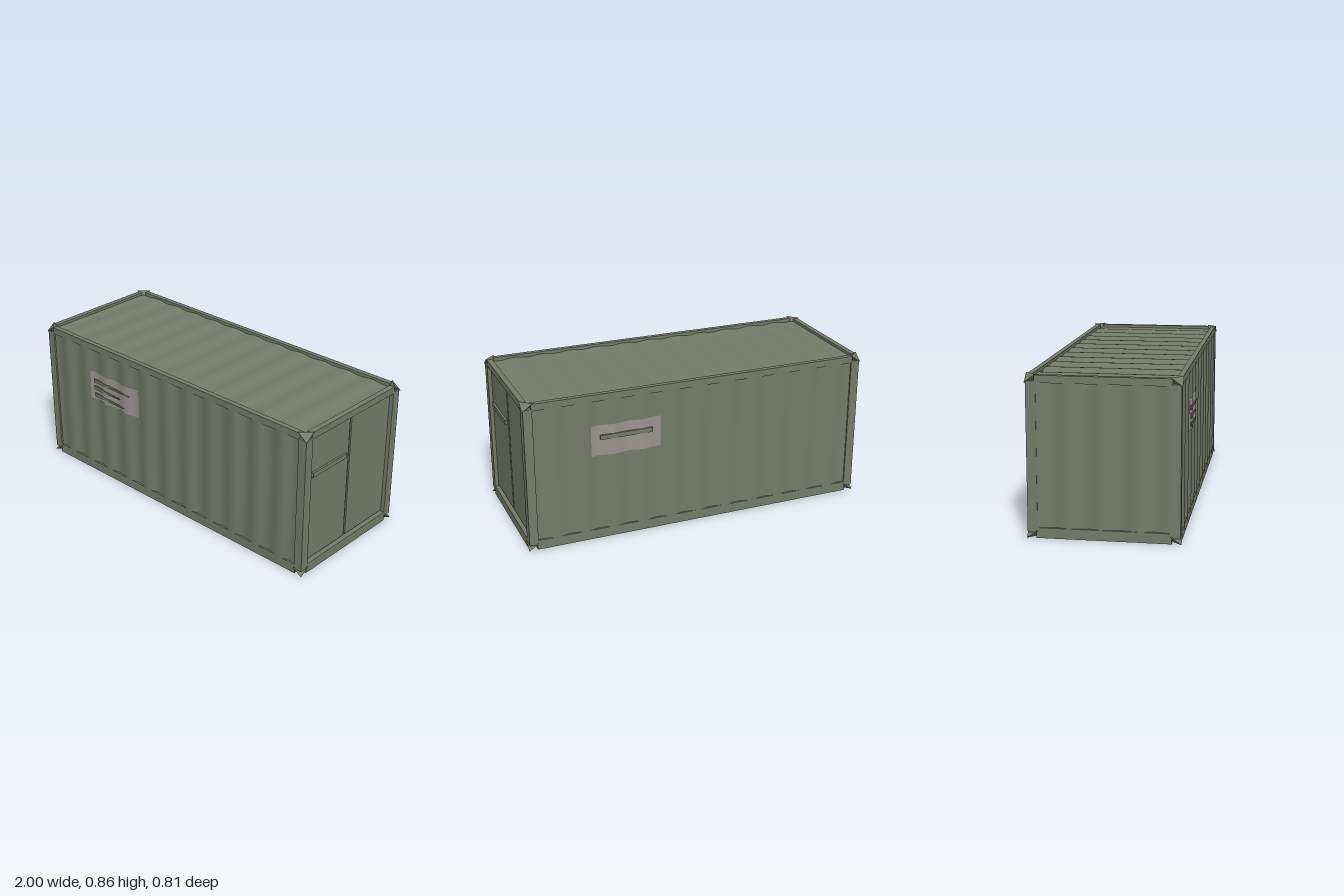
import * as THREE from 'three';
import { ConvexGeometry } from 'three/addons/geometries/ConvexGeometry.js';

export function createModel() {
  const model = new THREE.Group();
  const paint = new THREE.MeshStandardMaterial({ color: 0x747c68, side: THREE.DoubleSide });
  paint.name = 'olive paint';
  const grey = new THREE.MeshStandardMaterial({ color: 0x9a948e, side: THREE.DoubleSide });
  grey.name = 'grey plate';

  function add(name, geometry, material = paint) {
    const mesh = new THREE.Mesh(geometry, material);
    mesh.name = name;
    model.add(mesh);
    return mesh;
  }

  // Box given by its minimum and maximum corners
  function box(name, a, b) {
    const size = b.map((v, i) => Math.abs(v - a[i]));
    const mesh = add(name, new THREE.BoxGeometry(...size));
    mesh.position.set(...b.map((v, i) => (v + a[i]) / 2));
    return mesh;
  }

  // Sheet whose waves run along its width; x0 keeps plates in step with a wall
  function sheet(width, height, amp, period, x0 = 0) {
    const g = new THREE.PlaneGeometry(width, height, Math.ceil(width / period * 14), 1);
    const p = g.attributes.position;
    for (let i = 0; i < p.count; i++) {
      p.setZ(i, amp * Math.cos((p.getX(i) + x0) * 2 * Math.PI / period));
    }
    g.computeVertexNormals();
    return g;
  }

  const wave = 1 / 6, amp = 0.007;

  // Long corrugated walls
  for (const s of [1, -1]) {
    const wall = add(s > 0 ? 'frontWall' : 'backWall', sheet(1.94, 0.79, amp, wave));
    wall.position.set(0, 0.425, s * 0.389);
    if (s < 0) wall.rotation.y = Math.PI;

    // Vent plate following the waves
    const plate = add('ventPlate', sheet(0.4, 0.175, amp, wave, -0.43), grey);
    plate.position.set(s * -0.43, 0.583, s * 0.393);
    if (s < 0) plate.rotation.y = Math.PI;
  }

  // Tapering slats on the front vent, one straight slat on the back vent
  for (const [y, end] of [[0.622, -0.3], [0.577, -0.38], [0.531, -0.34]]) {
    const shape = new THREE.Shape();
    shape.moveTo(-0.59, y - 0.011);
    shape.lineTo(end, y - 0.01);
    shape.lineTo(end, y - 0.006);
    shape.lineTo(-0.59, y + 0.011);
    const slat = add('frontSlat', new THREE.ExtrudeGeometry(shape, { depth: 0.008, bevelEnabled: false }));
    slat.position.z = 0.395;
  }
  box('backSlat', [0.28, 0.59, -0.404], [0.58, 0.616, -0.394]);

  // Corrugated blind end and gently ribbed roof
  const end = add('endWall', sheet(0.74, 0.79, 0.008, 0.175));
  end.rotation.y = -Math.PI / 2;
  end.position.set(-0.984, 0.425, 0);
  const roof = add('roof', sheet(1.95, 0.75, 0.004, wave));
  roof.rotation.x = -Math.PI / 2;
  roof.position.y = 0.832;

  // Long rails
  for (const s of [1, -1]) {
    box('bottomSideRail', [-0.95, 0, s * 0.355], [0.95, 0.055, s * 0.394]);
    box('topSideRail', [-0.95, 0.81, s * 0.365], [0.95, 0.849, s * 0.394]);
    box('bottomEndRail', [s * 0.955, 0, -0.35], [s * 0.994, 0.055, 0.35]);
    box('topEndRail', [s * 0.963, 0.81, -0.35], [s * 0.994, 0.849, 0.35]);
  }

  // Corner posts and four-pointed corner castings
  for (const sx of [1, -1]) for (const sz of [1, -1]) {
    box('cornerPost', [sx * 0.945, 0.03, sz * 0.343], [sx * 0.995, 0.82, sz * 0.395]);
    for (const [lo, hi] of [[0, 0.04], [0.812, 0.855]]) {
      add('cornerCasting', new ConvexGeometry([
        new THREE.Vector3(sx, lo, sz * 0.4),
        new THREE.Vector3(sx, hi, sz * 0.343),
        new THREE.Vector3(sx * 0.942, hi, sz * 0.4),
        new THREE.Vector3(sx * 0.942, lo, sz * 0.343),
      ]));
    }
  }

  // Recessed door end: backing, two leaves and a lock bar
  box('doorBacking', [0.955, 0.05, -0.345], [0.965, 0.815, 0.345]);
  box('leftDoor', [0.96, 0.065, -0.34], [0.974, 0.8, -0.006]);
  box('rightDoor', [0.96, 0.065, 0.008], [0.974, 0.8, 0.342]);
  box('lockBar', [0.97, 0.57, 0.034], [0.986, 0.598, 0.316]);

  return model;
}
